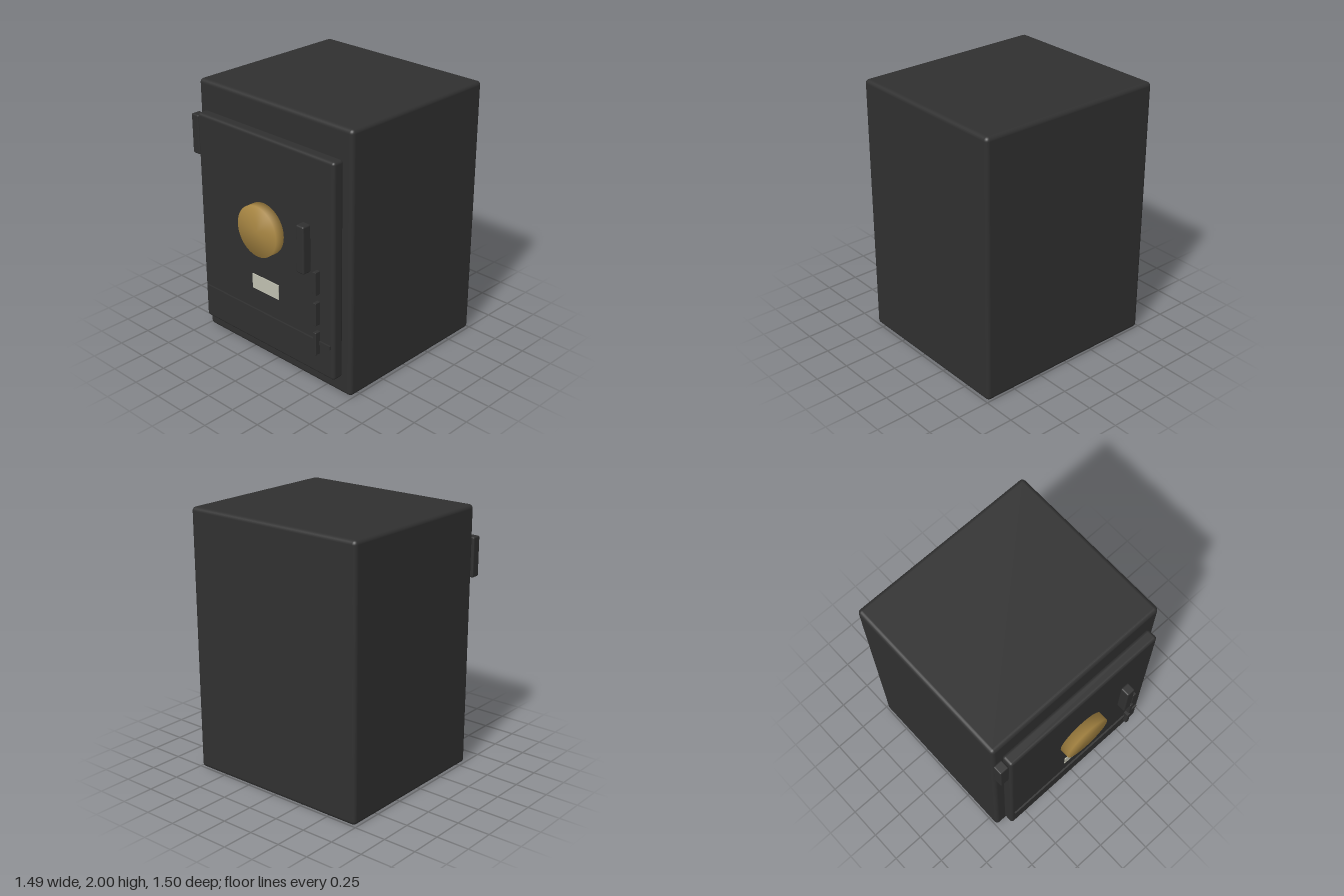
import * as THREE from 'three';
import { mergeVertices } from 'three/addons/utils/BufferGeometryUtils.js';
import { RoundedBoxGeometry } from 'three/addons/geometries/RoundedBoxGeometry.js';

const mat = (name, color) => {
  const m = new THREE.MeshStandardMaterial({ color });
  m.name = name;
  return m;
};

export function createModel() {
  const safe = new THREE.Group();
  safe.name = 'safe';
  const iron = mat('dark iron', 0x303030);
  const brass = mat('brass', 0xaa8844);
  const ivory = mat('pale plate', 0xc0c0b0);

  // Adds a box given by its minimum and maximum corners; rounded if radius > 0
  const addBox = (name, material, min, max, radius = 0) => {
    const s = max.map((v, i) => v - min[i]);
    const geometry = radius > 0
      ? new RoundedBoxGeometry(...s, 3, radius)
      : new THREE.BoxGeometry(...s);
    const mesh = new THREE.Mesh(geometry, material);
    mesh.name = name;
    mesh.position.set(...min.map((v, i) => (v + max[i]) / 2));
    safe.add(mesh);
  };

  // Cabinet and raised door
  addBox('cabinet', iron, [-0.74, 0, -0.747], [0.74, 2, 0.583], 0.03);
  addBox('door', iron, [-0.665, 0.145, 0.583], [0.665, 1.785, 0.675], 0.022);

  // Hinge beside the door, and the pull handle
  addBox('hinge', iron, [-0.745, 1.455, 0.59], [-0.672, 1.755, 0.663], 0.01);
  addBox('handle', iron, [0.38, 0.928, 0.673], [0.452, 1.285, 0.747], 0.012);

  // Three locking bolts below the handle
  for (const y of [0.407, 0.64, 0.877]) {
    addBox('bolt', iron, [0.506, y - 0.088, 0.673], [0.535, y + 0.088, 0.717], 0.003);
  }

  // Trim strip and label plate
  addBox('trimStrip', iron, [-0.635, 0.392, 0.673], [0.637, 0.42, 0.688]);
  addBox('labelPlate', ivory, [-0.132, 0.587, 0.674], [0.132, 0.702, 0.682]);

  // Dial: a disc with soft shading running over its rim
  let disc = new THREE.CylinderGeometry(0.192, 0.192, 0.077, 64);
  disc.deleteAttribute('uv');
  disc.deleteAttribute('normal');
  disc = mergeVertices(disc, 1e-4);
  disc.computeVertexNormals();
  disc.rotateX(Math.PI / 2);
  const dial = new THREE.Mesh(disc, brass);
  dial.name = 'dial';
  dial.position.set(0, 1.102, 0.7105);
  safe.add(dial);

  return safe;
}
